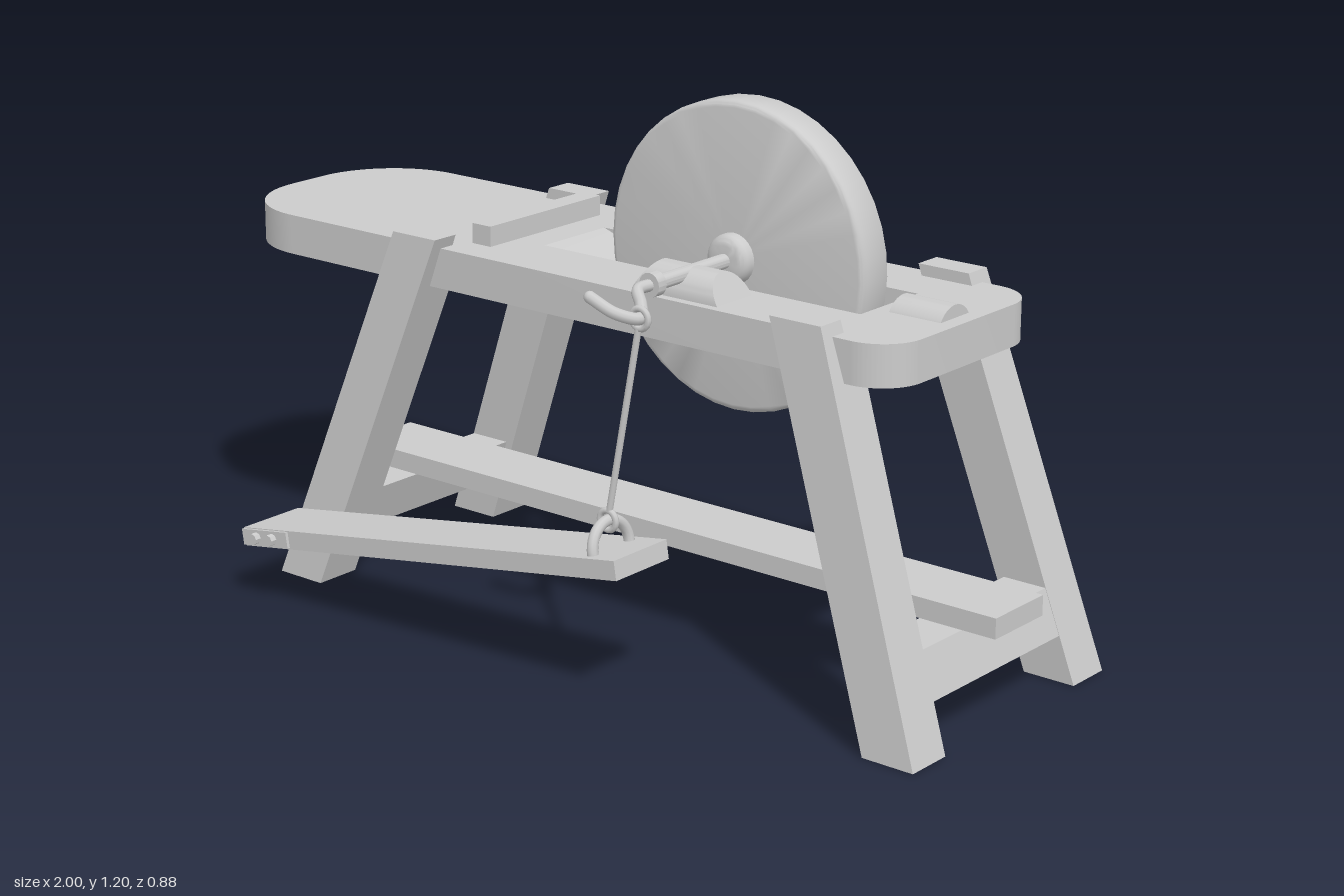
import * as THREE from 'three';
import { RoundedBoxGeometry } from 'three/addons/geometries/RoundedBoxGeometry.js';
import { toCreasedNormals } from 'three/addons/utils/BufferGeometryUtils.js';

const MID = -0.092; // z of the bench's centre line
const WHEEL_X = 0.297, AXLE_Y = 0.863;
const mat = new THREE.MeshStandardMaterial({ color: 0xcccccc });

function add(parent, name, geo, x = 0, y = 0, z = 0) {
  const m = new THREE.Mesh(geo, mat);
  m.name = name;
  m.position.set(x, y, z);
  parent.add(m);
  return m;
}

// box given by its extents
function block(parent, name, x0, x1, y0, y1, z0, z1) {
  return add(parent, name, new THREE.BoxGeometry(x1 - x0, y1 - y0, z1 - z0),
    (x0 + x1) / 2, (y0 + y1) / 2, (z0 + z1) / 2);
}

// slanted prism between a lower and an upper rectangle [x0, x1, z0, z1]
function slanted(y0, lo, y1, hi) {
  const g = new THREE.BoxGeometry(1, 1, 1), p = g.attributes.position;
  for (let i = 0; i < p.count; i++) {
    const r = p.getY(i) > 0 ? hi : lo;
    p.setXYZ(i, r[p.getX(i) > 0 ? 1 : 0], p.getY(i) > 0 ? y1 : y0, r[p.getZ(i) > 0 ? 3 : 2]);
  }
  g.computeVertexNormals();
  return g;
}

// rod between two points
function rod(parent, name, a, b, r) {
  return add(parent, name, new THREE.TubeGeometry(new THREE.LineCurve3(a, b), 1, r, 12));
}

// lathe turned so its axis runs along z
function turned(points, segments) {
  const g = new THREE.LatheGeometry(points.map(([r, h]) => new THREE.Vector2(r, h)), segments);
  return toCreasedNormals(g.rotateX(Math.PI / 2), 0.7);
}

// disc profile with rounded rims
function discProfile(r, half, round) {
  const pts = [[0, -half]];
  for (const s of [-1, 1])
    for (let i = 0; i <= 4; i++) {
      const a = (s < 0 ? i - 4 : i) * Math.PI / 8;
      pts.push([r - round + round * Math.cos(a), s * (half - round) + round * Math.sin(a)]);
    }
  pts.push([0, half]);
  return pts;
}

// half-round block along x with ends leaning inwards
function halfRound(len, r, lean) {
  const g = new THREE.CylinderGeometry(r, r, len, 24, 1, false, 0, Math.PI);
  g.rotateZ(Math.PI / 2);
  const p = g.attributes.position;
  for (let i = 0; i < p.count; i++)
    p.setX(i, p.getX(i) - Math.sign(p.getX(i)) * lean * Math.max(0, p.getY(i)) / r);
  return toCreasedNormals(g, 0.6);
}

function benchTop(parent) {
  const x0 = -1, x1 = 0.855, z0 = MID - 0.262, z1 = MID + 0.262, R = 0.21, r = 0.1;
  const s = new THREE.Shape();
  s.moveTo(x0 + R, z0);
  s.lineTo(x1 - r, z0);
  s.absarc(x1 - r, z0 + r, r, -Math.PI / 2, 0);
  s.absarc(x1 - r, z1 - r, r, 0, Math.PI / 2);
  s.absarc(x0 + R, z1 - R, R, Math.PI / 2, Math.PI);
  s.absarc(x0 + R, z0 + R, R, Math.PI, Math.PI * 1.5);
  // slot for the wheel
  const h = new THREE.Path();
  h.moveTo(-0.18, -0.195);
  h.lineTo(-0.18, 0.005);
  h.lineTo(0.66, 0.005);
  h.lineTo(0.66, -0.195);
  h.closePath();
  s.holes.push(h);
  const g = new THREE.ExtrudeGeometry(s, { depth: 0.09, bevelEnabled: false, curveSegments: 16 });
  add(parent, 'benchTop', toCreasedNormals(g.rotateX(Math.PI / 2), 0.6), 0, 0.82, 0);

  // scooped ramp at the end of the slot
  const c = new THREE.Shape();
  c.moveTo(-0.18, 0.73);
  c.lineTo(-0.055, 0.73);
  c.quadraticCurveTo(-0.08, 0.79, -0.18, 0.82);
  c.closePath();
  const ramp = new THREE.ExtrudeGeometry(c, { depth: 0.2, bevelEnabled: false, curveSegments: 8 });
  add(parent, 'slotRamp', toCreasedNormals(ramp, 0.6), 0, 0, -0.195);
}

function legs(parent) {
  const ends = [
    { name: 'right', bottom: [-0.767, -0.642], top: [-0.447, -0.324] },
    { name: 'left', bottom: [0.867, 0.99], top: [0.577, 0.703] },
  ];
  for (const { name, bottom, top } of ends) {
    const at = y => [0, 1].map(i => bottom[i] + (top[i] - bottom[i]) * y / 0.845);
    for (const s of [1, -1]) {
      // distances from the centre line, mirrored for the rear
      const rect = (y, inner, outer) => {
        const z = [MID + s * inner, MID + s * outer].sort((a, b) => a - b);
        return [...at(y), ...z];
      };
      const leg = new THREE.Group();
      leg.name = name + (s > 0 ? 'FrontLeg' : 'RearLeg');
      parent.add(leg);
      add(leg, 'legPost', slanted(0, rect(0, 0.236, 0.348), 0.73, rect(0.73, 0.19, 0.298)));
      add(leg, 'legTenon', slanted(0.73, rect(0.73, 0.224, 0.298), 0.845, rect(0.845, 0.224, 0.29)));
    }
    // cross beam flush with the outer side of the legs
    const beam = y => {
      const [a, b] = at(y);
      return [a + (name === 'left' ? 0.02 : 0.001), b - (name === 'left' ? 0.001 : 0.02),
        MID - 0.24, MID + 0.24];
    };
    add(parent, name + 'CrossBeam', slanted(0.105, beam(0.105), 0.205, beam(0.205)));
  }
  block(parent, 'longStretcher', -0.767, 1, 0.205, 0.25, MID - 0.086, MID + 0.086);
}

function wheel(parent) {
  const g = new THREE.Group();
  g.name = 'grindingWheel';
  g.position.set(WHEEL_X, AXLE_Y, 0);
  parent.add(g);
  add(g, 'stone', turned(discProfile(0.333, 0.046, 0.014), 40), 0, 0, MID);
  add(g, 'hub', turned(discProfile(0.055, 0.078, 0.022), 24), 0, 0, MID);
  add(g, 'axle', turned([[0, -0.295], [0.016, -0.295], [0.016, 0.21], [0, 0.21]], 16));
  add(g, 'collar', turned([[0, 0.205], [0.026, 0.205], [0.026, 0.23], [0, 0.23]], 16));
  // hooked crank
  const pts = [[0, 0, 0.22], [0, -0.002, 0.265], [0.033, -0.02, 0.295],
    [0.063, -0.035, 0.335], [0.035, -0.02, 0.378], [-0.018, 0.007, 0.393]];
  const curve = new THREE.CatmullRomCurve3(pts.map(p => new THREE.Vector3(...p)));
  add(g, 'crank', new THREE.TubeGeometry(curve, 40, 0.013, 10));
  add(g, 'crankTip', new THREE.SphereGeometry(0.013, 10, 8), ...pts[5]);
}

function treadle(parent) {
  const g = new THREE.Group();
  g.name = 'treadle';
  g.position.set(-0.171, 0.2315, 0.336);
  g.rotation.z = 0.163;
  parent.add(g);
  add(g, 'treadleBoard', new THREE.BoxGeometry(1.09, 0.042, 0.168));
  add(g, 'hingePlate', new THREE.BoxGeometry(0.14, 0.036, 0.008), -0.475, 0.001, 0.087);
  for (const x of [-0.5, -0.45])
    add(g, 'hingeBolt', turned([[0, 0], [0.013, 0], [0.013, 0.016], [0, 0.016]], 8), x, 0.001, 0.09);
  add(g, 'hingePin', turned([[0, 0], [0.013, 0], [0.013, 0.05], [0, 0.05]], 12), -0.46, 0, -0.13);
  // staple for the pull rod
  const staple = new THREE.TorusGeometry(0.058, 0.012, 10, 20, Math.PI).rotateY(Math.PI / 2);
  add(g, 'staple', staple, 0.467, 0.021, 0);
}

function pullRod(parent) {
  const g = new THREE.Group();
  g.name = 'pullRod';
  parent.add(g);
  const top = new THREE.Vector3(0.36, 0.828, 0.335), low = new THREE.Vector3(0.277, 0.385, 0.335);
  const dir = low.clone().sub(top).normalize();
  rod(g, 'rodShaft', top.clone().addScaledVector(dir, 0.02), low.clone().addScaledVector(dir, -0.02), 0.007);
  for (const p of [top, low])
    add(g, 'rodEye', new THREE.TorusGeometry(0.021, 0.007, 8, 20), p.x, p.y, p.z);
}

export function createModel() {
  const model = new THREE.Group();
  model.name = 'treadleGrindstone';
  benchTop(model);
  legs(model);
  // cross bar and rest on the bench
  block(model, 'seatBar', -0.312, -0.26, 0.81, 0.865, MID - 0.183, MID + 0.183);
  add(model, 'endRest', halfRound(0.125, 0.0585, 0), 0.757, 0.789, -0.095);
  // axle bearings
  for (const s of [1, -1])
    add(model, s > 0 ? 'frontBearing' : 'rearBearing', halfRound(0.225, 0.058, 0.035),
      WHEEL_X, 0.819, MID + s * 0.184);
  // pads closing the undersides of the bearings
  for (const s of [1, -1])
    add(model, 'bearingPad', new RoundedBoxGeometry(0.2, 0.02, 0.1, 1, 0.004), WHEEL_X, 0.809, MID + s * 0.184);
  wheel(model);
  treadle(model);
  pullRod(model);
  return model;
}
